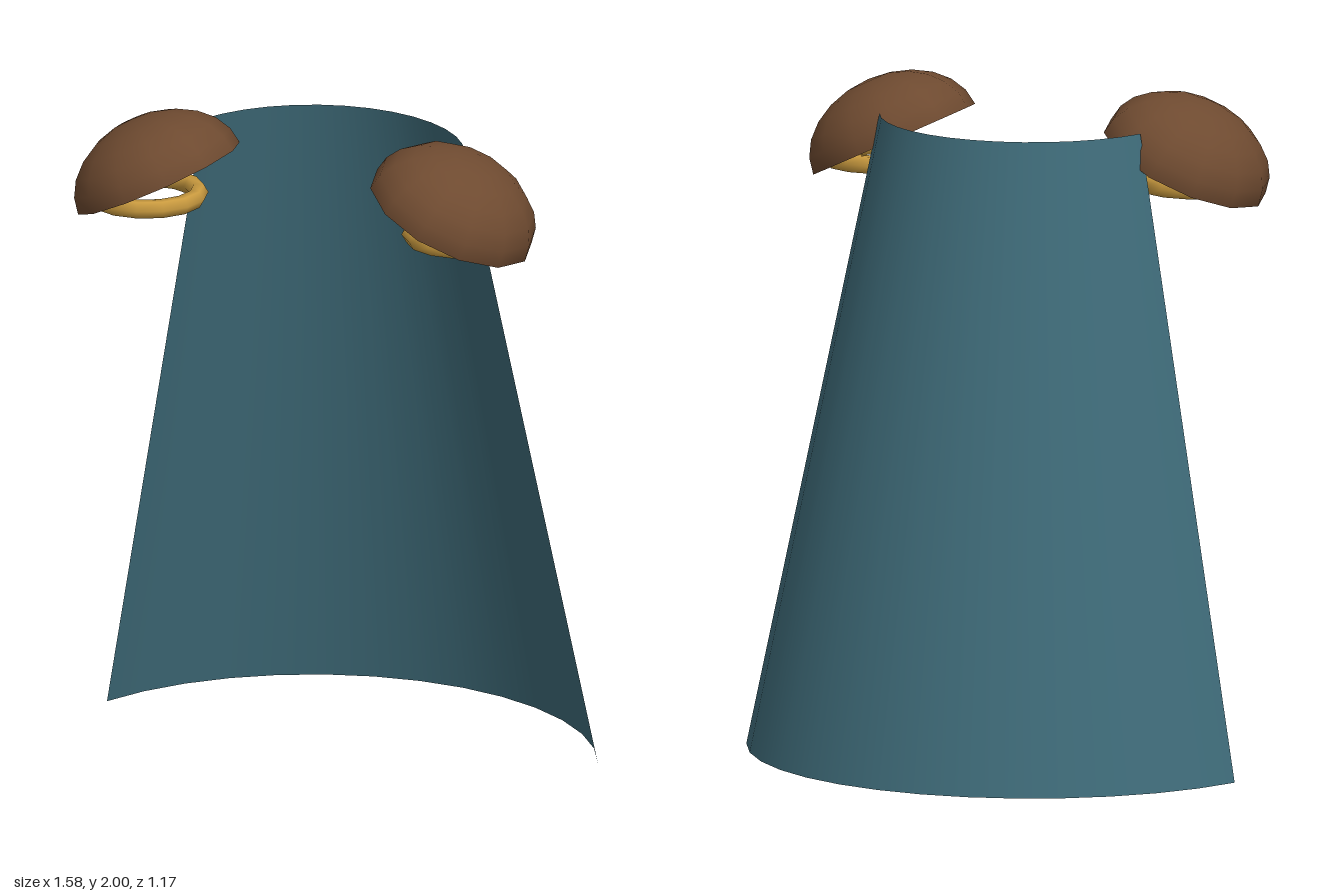
import * as THREE from 'three';

const cloth = new THREE.MeshStandardMaterial({ color: 0x3f6c7a, side: THREE.DoubleSide });
const leather = new THREE.MeshStandardMaterial({ color: 0x6e4a30, side: THREE.DoubleSide });
const gold = new THREE.MeshStandardMaterial({ color: 0xc99a3f });

function addMesh(parent, name, geometry, material, x, y, z) {
  const mesh = new THREE.Mesh(geometry, material);
  mesh.name = name;
  mesh.position.set(x, y, z);
  parent.add(mesh);
  return mesh;
}

export function createModel() {
  const model = new THREE.Group();
  model.name = 'capeWithShoulderGuards';

  // Cape: an open, flaring cone wall wrapped around the back
  const height = 1.915;
  const halfArc = THREE.MathUtils.degToRad(68);
  const cape = new THREE.CylinderGeometry(0.455, 0.852, height, 14, 1, true, Math.PI - halfArc, 2 * halfArc);
  addMesh(model, 'cape', cape, cloth, 0, height / 2, 0.265);

  // Hollow squashed dome and flat ring for each shoulder
  const dome = new THREE.SphereGeometry(0.264, 12, 6, 0, Math.PI * 2, 0, Math.PI / 2);
  dome.scale(1, 0.74, 1);
  const ring = new THREE.TorusGeometry(0.156, 0.029, 6, 14);
  ring.rotateX(Math.PI / 2);

  for (const [side, s] of [['left', 1], ['right', -1]]) {
    const shoulder = new THREE.Group();
    shoulder.name = side + 'Shoulder';
    model.add(shoulder);
    // The dome slopes down towards the outside
    addMesh(shoulder, side + 'ShoulderGuard', dome, leather, s * 0.47, 1.791, 0.32).rotation.z = -s * 0.45;
    addMesh(shoulder, side + 'ShoulderRing', ring, gold, s * 0.51, 1.74, 0.32);
  }

  return model;
}
